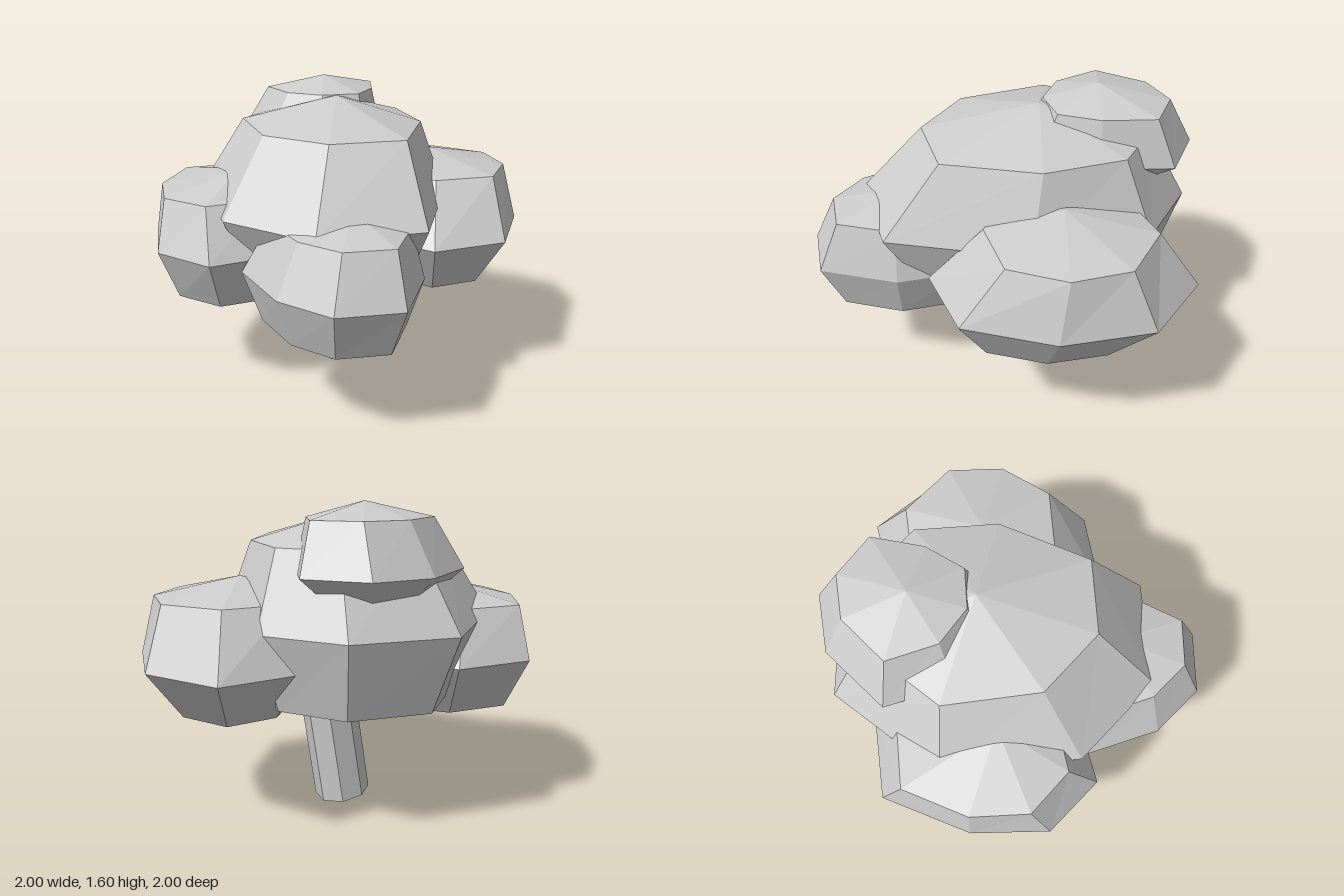
import * as THREE from 'three';

// Low-poly leaf clump: an eight-point equator [x, z] (left, front, right, back order),
// repeated as scaled rings [y, scaleX, scaleZ, shiftX, shiftZ] and closed at two tips [x, y, z]
function clumpGeometry({ centre, equator, rings, bottom, top }) {
  const [cx, cz] = centre;
  const n = equator.length;
  const loops = rings.map(([y, sx, sz, dx = 0, dz = 0]) => equator.map(([x, z]) =>
    [cx + dx + (x - cx) * sx, y, cz + dz + (z - cz) * sz]));
  const pos = [];
  const tri = (...pts) => pts.forEach((p) => pos.push(...p));
  for (let i = 0; i < n; i++) {
    const j = (i + 1) % n;
    tri(bottom, loops[0][j], loops[0][i]);
    for (let k = 0; k < loops.length - 1; k++) {
      const a = loops[k], b = loops[k + 1];
      tri(a[i], a[j], b[j]);
      tri(a[i], b[j], b[i]);
    }
    const last = loops[loops.length - 1];
    tri(last[i], last[j], top);
  }
  const geo = new THREE.BufferGeometry();
  geo.setAttribute('position', new THREE.Float32BufferAttribute(pos, 3));
  geo.computeVertexNormals();
  return geo;
}

const clumps = {
  mainCanopy: {
    centre: [-0.03, -0.16],
    equator: [[-0.79, -0.18], [-0.52, 0.48], [-0.03, 0.74], [0.49, 0.55],
      [0.585, -0.18], [0.38, -0.77], [-0.03, -0.98], [-0.54, -0.83]],
    rings: [[0.63, 0.78, 0.8, 0, -0.05], [1.01, 1, 1], [1.39, 0.72, 0.68, 0.03, -0.05]],
    bottom: [-0.03, 0.45, -0.12], top: [-0.02, 1.53, -0.2],
  },
  crownClump: {
    centre: [-0.16, -0.52],
    equator: [[-0.6, -0.5], [-0.4, -0.2], [-0.13, -0.1], [0.13, -0.2],
      [0.21, -0.5], [0.18, -0.88], [-0.13, -1], [-0.41, -0.86]],
    rings: [[1.17, 0.7, 0.7], [1.28, 1, 1], [1.525, 0.75, 0.72, 0.04, 0]],
    bottom: [-0.14, 1.1, -0.52], top: [-0.12, 1.6, -0.5],
  },
  leftClump: {
    centre: [0.53, -0.33],
    equator: [[0.06, -0.33], [0.18, 0.14], [0.53, 0.33], [0.9, 0.15],
      [1, -0.31], [0.89, -0.76], [0.53, -1], [0.18, -0.79]],
    rings: [[0.56, 0.64, 0.65, 0, 0.05], [0.83, 1, 1], [1.13, 0.83, 0.63, 0, -0.03]],
    bottom: [0.53, 0.46, -0.31], top: [0.49, 1.225, -0.33],
  },
  rightClump: {
    centre: [-0.54, -0.03],
    equator: [[-1, 0.03], [-0.88, 0.42], [-0.57, 0.59], [-0.25, 0.4],
      [-0.1, 0], [-0.2, -0.45], [-0.57, -0.63], [-0.95, -0.46]],
    rings: [[0.53, 0.8, 0.7, 0, 0.03], [0.81, 1, 1], [1.07, 0.8, 0.73, -0.05, 0.01]],
    bottom: [-0.57, 0.435, 0.03], top: [-0.52, 1.17, 0.04],
  },
  frontClump: {
    centre: [0.06, 0.5],
    equator: [[-0.43, 0.5], [-0.2, 0.84], [0.08, 1], [0.4, 0.91],
      [0.48, 0.5], [0.38, 0.15], [0.08, 0], [-0.22, 0.15]],
    rings: [[0.495, 0.8, 0.77], [0.755, 1, 1], [1.015, 0.76, 0.75, 0.03, 0]],
    bottom: [0.08, 0.43, 0.5], top: [0.12, 1.09, 0.5],
  },
};

export function createModel() {
  const tree = new THREE.Group();
  tree.name = 'tree';
  const grey = new THREE.MeshStandardMaterial({ color: 0xcccccc });
  grey.name = 'light grey';

  const add = (name, geo) => {
    const mesh = new THREE.Mesh(geo, grey);
    mesh.name = name;
    tree.add(mesh);
    return mesh;
  };

  // Leaf clumps
  for (const [name, spec] of Object.entries(clumps)) add(name, clumpGeometry(spec));

  // Leaning eight-sided trunk
  const trunkGeo = new THREE.CylinderGeometry(1, 1, 0.8, 8).toNonIndexed();
  trunkGeo.scale(0.146, 1, 0.18).translate(0, 0.4, 0);
  trunkGeo.computeVertexNormals();
  const trunk = add('trunk', trunkGeo);
  trunk.position.set(-0.025, 0.021, -0.18);
  trunk.rotation.z = -0.143;

  return tree;
}
